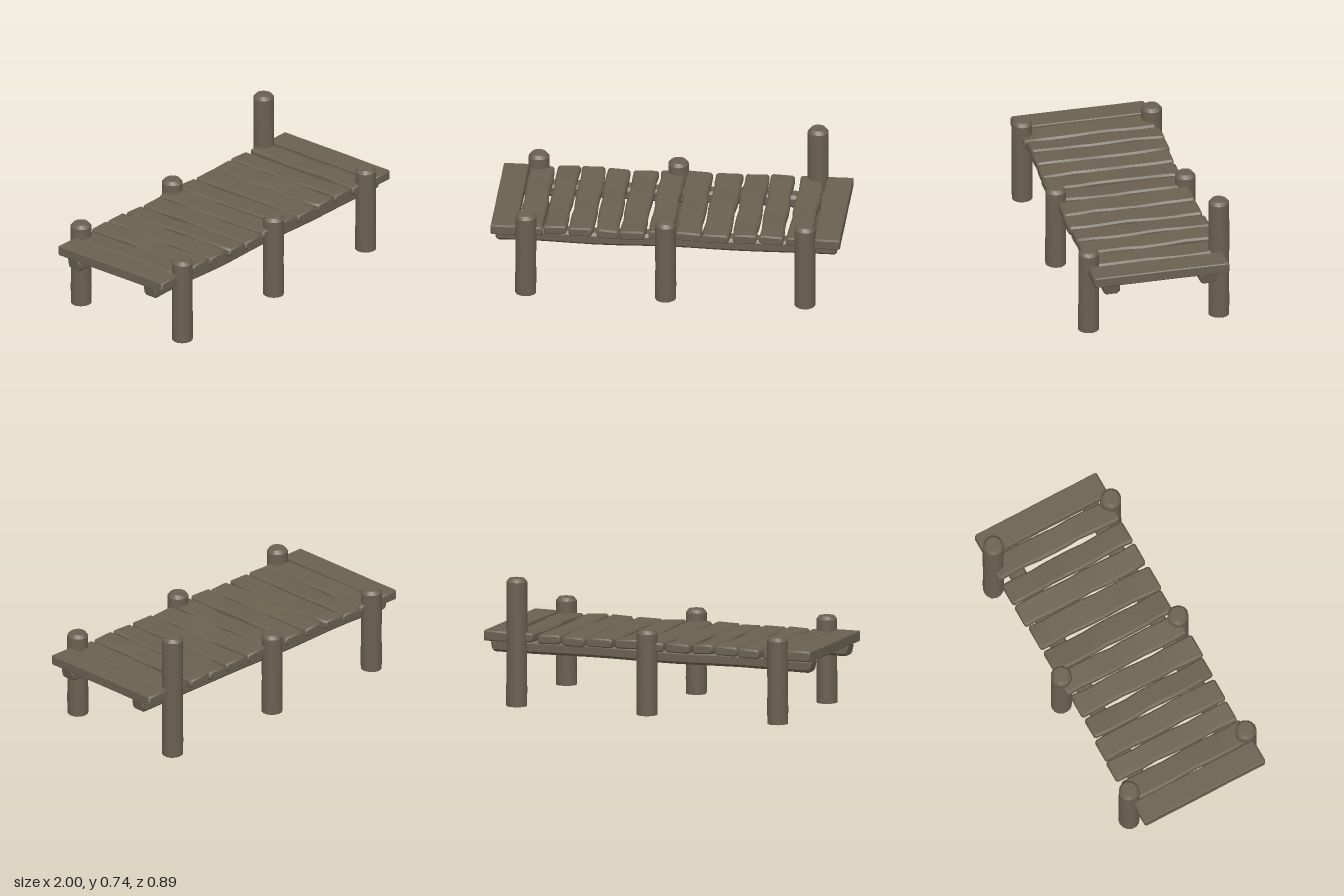
import * as THREE from 'three';
import { toCreasedNormals } from 'three/addons/utils/BufferGeometryUtils.js';

const wood = new THREE.MeshStandardMaterial({ color: 0x6a6050 });
wood.name = 'weathered wood';

// Moves every vertex by a rule, then rebuilds normals with worn but readable edges
function shapeBy(geometry, rule) {
  const p = geometry.attributes.position;
  const v = new THREE.Vector3();
  for (let i = 0; i < p.count; i++) {
    v.fromBufferAttribute(p, i);
    rule(v);
    p.setXYZ(i, v.x, v.y, v.z);
  }
  geometry.deleteAttribute('normal');
  geometry.deleteAttribute('uv');
  return toCreasedNormals(geometry, 0.65);
}

// Timber of chamfered section w x h, centred, running along z
function timber(w, h, length, chamfer, steps) {
  const a = w / 2, b = h / 2, c = chamfer, bevel = 0.01;
  const outline = new THREE.Shape([
    [-a + c, -b], [a - c, -b], [a, -b + c], [a, b - c],
    [a - c, b], [-a + c, b], [-a, b - c], [-a, -b + c],
  ].map(([x, y]) => new THREE.Vector2(x, y)));
  const g = new THREE.ExtrudeGeometry(outline, {
    depth: length - 2 * bevel, steps, bevelEnabled: true, bevelSegments: 1,
    bevelThickness: bevel, bevelSize: 0.008, bevelOffset: -0.008,
  });
  return g.translate(0, 0, bevel - length / 2);
}

export function createModel() {
  const model = new THREE.Group();
  model.name = 'dock';
  const add = (name, geometry, x, y, z) => {
    const mesh = new THREE.Mesh(geometry, wood);
    mesh.name = name;
    mesh.position.set(x, y, z);
    model.add(mesh);
    return mesh;
  };

  // Deck planks: left edge, right edge, back end, front end
  const planks = [
    [-1, -0.855, -0.39, 0.395], [-0.848, -0.705, -0.39, 0.385],
    [-0.695, -0.565, -0.405, 0.375], [-0.555, -0.413, -0.4, 0.38],
    [-0.405, -0.272, -0.388, 0.385], [-0.26, -0.115, -0.388, 0.395],
    [-0.1, 0.04, -0.4, 0.38], [0.05, 0.2, -0.395, 0.375],
    [0.212, 0.37, -0.395, 0.385], [0.38, 0.522, -0.405, 0.38],
    [0.532, 0.67, -0.405, 0.38], [0.695, 0.835, -0.4, 0.38],
    [0.85, 1, -0.4, 0.395],
  ];
  planks.forEach(([x0, x1, z0, z1], i) => {
    const end = i === 0 || i === planks.length - 1;
    const w = x1 - x0;
    const wear = end ? 0.15 : 1;
    const g = shapeBy(timber(w, end ? 0.06 : 0.052, z1 - z0, end ? 0.005 : 0.011, 9), (v) => {
      const side = Math.sign(v.x);
      // chipped edges, a slight skew, and a gentle warp
      v.x -= side * wear * 0.007 * Math.max(0, Math.sin(v.z * 17 + i * 2.3 + side));
      v.x += wear * 0.012 * Math.sin(i * 2.1) * v.z;
      v.y += wear * (0.003 * Math.sin(v.z * 11 + i * 1.7) + 0.05 * Math.sin(i * 4.3) * v.x);
    });
    add('plank', g, (x0 + x1) / 2, 0.395, (z0 + z1) / 2);
  });

  // Two long beams under the deck
  for (const side of [1, -1]) {
    const g = shapeBy(timber(0.095, 0.075, 1.96, 0.016, 14), (v) => {
      v.y += 0.003 * Math.sin(v.z * 7 + side);
      v.x += 0.003 * Math.sin(v.z * 9 + side * 2);
      // slanting sawn ends
      if (Math.abs(v.z) > 0.9) v.z += Math.sign(v.z) * v.y * 0.2;
    });
    add('beam', g, 0, 0.332, side * 0.282).rotation.y = Math.PI / 2;
  }

  // Round posts with chamfered tops; the back left one stands tall
  const posts = [
    [-0.8, 0.375, 0.502], [0, 0.375, 0.49], [0.8, 0.38, 0.507],
    [-0.8, -0.385, 0.5], [0, -0.385, 0.49], [0.8, -0.385, 0.738],
  ];
  posts.forEach(([x, z, height], i) => {
    const profile = [
      [0, 0], [0.06, 0], [0.061, 0.09], [0.0595, 0.2], [0.06, height * 0.7],
      [0.06, height - 0.02], [0.044, height], [0, height],
    ].map(([r, y]) => new THREE.Vector2(r, y));
    const g = shapeBy(new THREE.LatheGeometry(profile, 14), (v) => {
      const a = Math.atan2(v.z, v.x);
      const k = 1 + 0.018 * Math.sin(a * 3 + i * 1.9 + v.y * 4);
      v.x *= k;
      v.z *= k;
    });
    add('post', g, x, 0, z);

    // Small wedge between beam and deck beside each post
    const side = Math.sign(z);
    const wedge = new THREE.Shape([
      new THREE.Vector2(0, 0), new THREE.Vector2(0.065, 0.028), new THREE.Vector2(0, 0.035),
    ]);
    const wg = new THREE.ExtrudeGeometry(wedge, { depth: 0.08, bevelEnabled: false });
    wg.translate(0, 0, -0.04);
    add('wedge', wg, x, 0.335, side * 0.236).rotation.y = side * Math.PI / 2;
  });

  return model;
}
